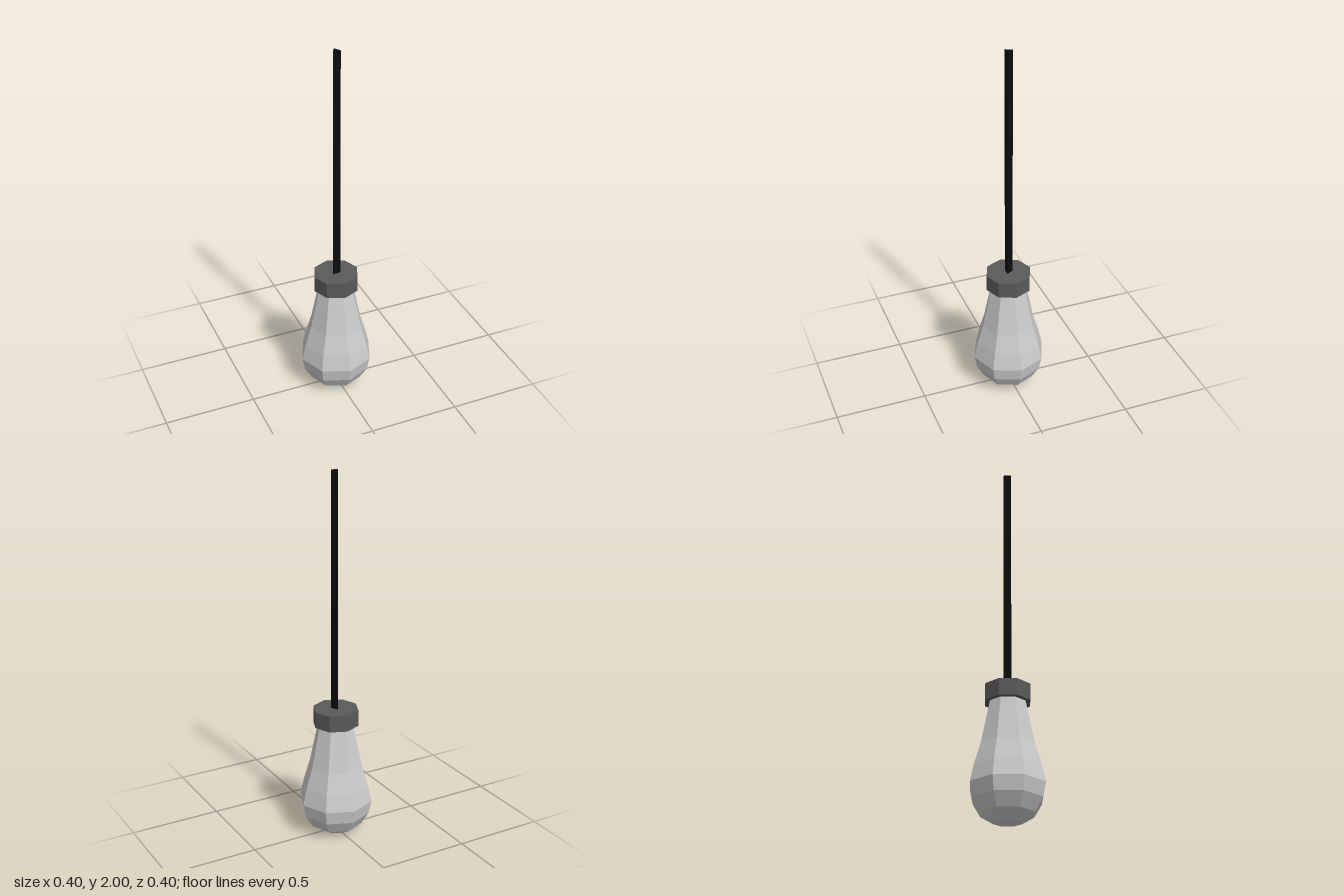
import * as THREE from 'three';

const SIDES = 8;

function part(name, geometry, color, y = 0) {
  const material = new THREE.MeshStandardMaterial({ color, flatShading: true });
  const mesh = new THREE.Mesh(geometry, material);
  mesh.name = name;
  mesh.position.y = y;
  return mesh;
}

export function createModel() {
  const group = new THREE.Group();
  group.name = 'hangingBulb';

  // Faceted glass bulb: radius and height, from the flat bottom to the neck
  const profile = [
    [0, 0], [0.078, 0.003], [0.145, 0.045], [0.187, 0.115], [0.202, 0.19],
    [0.182, 0.28], [0.147, 0.395], [0.098, 0.63], [0.096, 0.66],
  ].map(([r, y]) => new THREE.Vector2(r, y));
  group.add(part('bulb', new THREE.LatheGeometry(profile, SIDES), 0xcccccc));

  // Octagonal socket around the neck
  const socketHeight = 0.09;
  const socket = new THREE.CylinderGeometry(0.125, 0.125, socketHeight, SIDES);
  group.add(part('socket', socket, 0x5a5a5a, 0.63 + socketHeight / 2));

  // Three-sided cord, with one edge towards the back
  const cordBottom = 0.7;
  const cordHeight = 2 - cordBottom;
  const cord = new THREE.CylinderGeometry(0.024, 0.024, cordHeight, 3);
  cord.rotateY(Math.PI);
  group.add(part('cord', cord, 0x0c0c0c, cordBottom + cordHeight / 2));

  return group;
}
